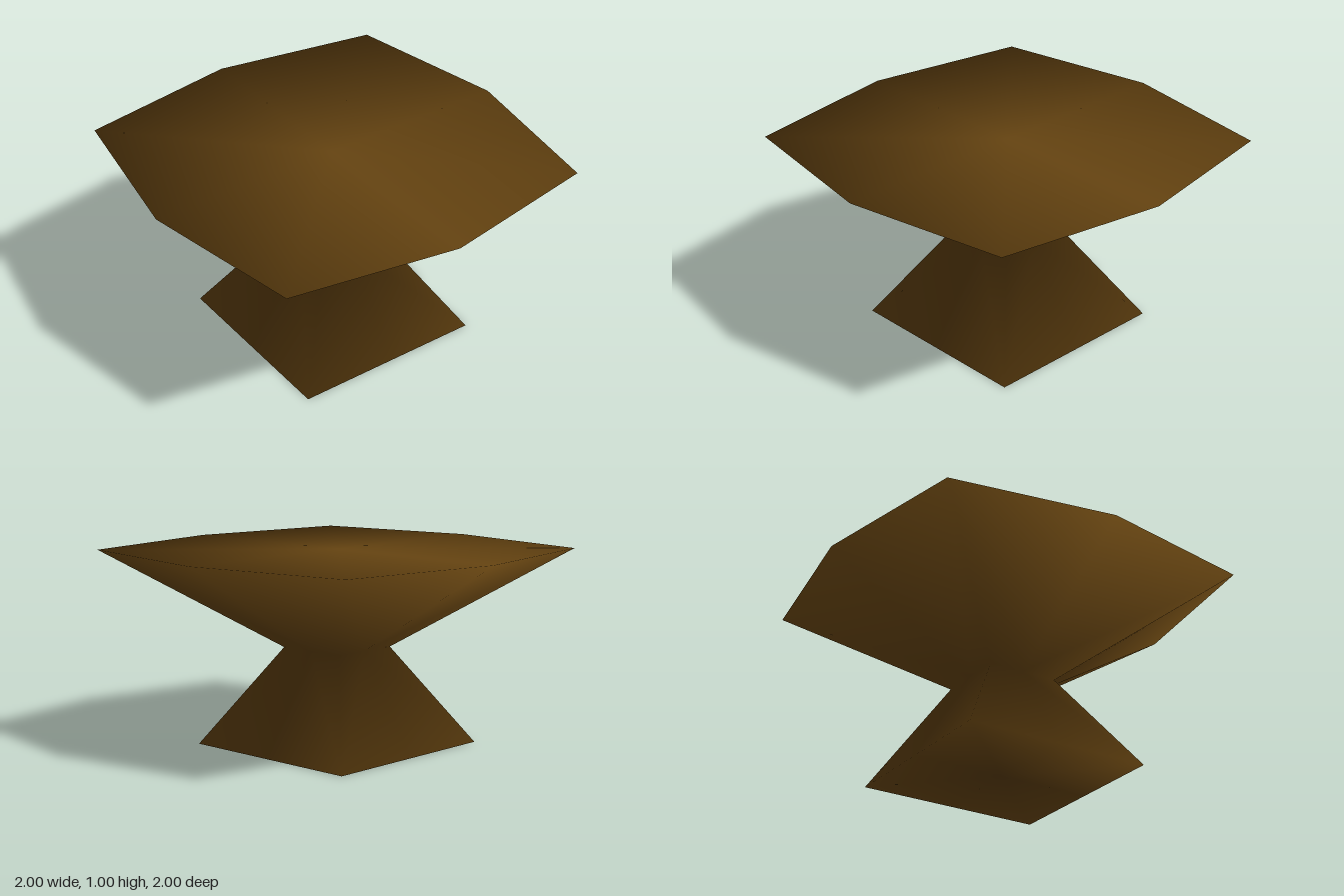
import * as THREE from 'three';

// Rings from the ground up: height, distance of side midpoints, half width at corners
const RINGS = [
  { y: 0, mid: 0.5, corner: 0.5 },
  { y: 0.5, mid: 0.19, corner: 0.19 },
  { y: 1, mid: 1, corner: 0.85 },
];
const SIDES = 8;

// Smooth hourglass body: eight-point rings joined by strips and closed by flat fans
function pedestalGeometry() {
  const positions = [];
  const index = [];
  for (const { y, mid, corner } of RINGS) {
    for (let i = 0; i < SIDES; i++) {
      const angle = (i * Math.PI) / 4;
      const radius = i % 2 ? corner * Math.SQRT2 : mid;
      positions.push(radius * Math.cos(angle), y, radius * Math.sin(angle));
    }
  }

  // Walls, with each diagonal running from a neck midpoint to an outer corner
  for (let level = 0; level < RINGS.length - 1; level++) {
    for (let i = 0; i < SIDES; i++) {
      const next = (i + 1) % SIDES;
      const a = level * SIDES + i;
      const b = level * SIDES + next;
      const c = a + SIDES;
      const d = b + SIDES;
      if ((i + level) % 2 === 0) index.push(a, c, b, b, c, d);
      else index.push(a, c, d, a, d, b);
    }
  }

  // Underside and tabletop
  const bottom = positions.length / 3;
  const top = bottom + 1;
  const rim = (RINGS.length - 1) * SIDES;
  positions.push(0, 0, 0, 0, 1, 0);
  for (let i = 0; i < SIDES; i++) {
    const next = (i + 1) % SIDES;
    index.push(bottom, i, next, top, rim + next, rim + i);
  }

  const geometry = new THREE.BufferGeometry();
  geometry.setAttribute('position', new THREE.Float32BufferAttribute(positions, 3));
  geometry.setIndex(index);
  geometry.computeVertexNormals();
  return geometry;
}

export function createModel() {
  const group = new THREE.Group();
  group.name = 'pedestalTable';
  const brown = new THREE.MeshStandardMaterial({ color: 0x664411 });
  brown.name = 'dark brown';
  const body = new THREE.Mesh(pedestalGeometry(), brown);
  body.name = 'tableBody';
  group.add(body);
  return group;
}
